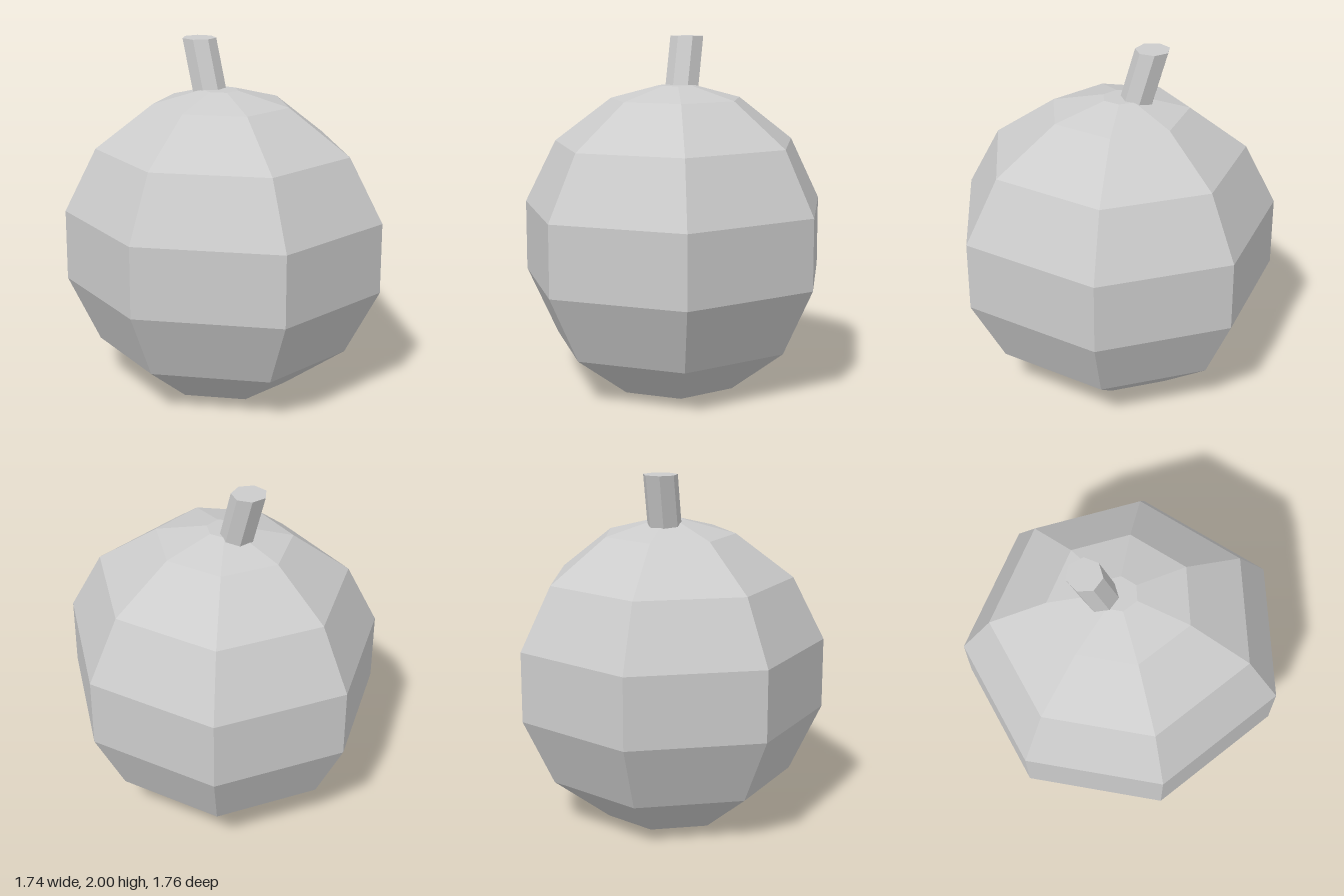
import * as THREE from 'three';

const gray = new THREE.MeshStandardMaterial({ color: 0xcccccc, flatShading: true });
gray.name = 'light gray';

// Seven-sided outline (x, z) at the widest point, from the back round by +x
const half = [[0.695, -0.55], [0.87, 0.207], [0.39, 0.88]];
const outline = [[0, -0.885], ...half, ...half.map(([x, z]) => [-x, z]).reverse()];

// Rings of the body: height, scale of the outline
const rings = [[0, 0.425], [0.255, 0.797], [0.637, 1], [1.04, 1], [1.4, 0.797], [1.65, 0.428], [1.725, 0.115]];

function bodyGeometry() {
  const n = outline.length, pos = [], idx = [];
  for (const [y, s] of rings) for (const [x, z] of outline) pos.push(x * s, y, z * s);
  const bottom = n * rings.length, top = bottom + 1, last = n * (rings.length - 1);
  pos.push(0, rings[0][0], 0, 0, rings[rings.length - 1][0], 0);
  for (let k = 0; k < n; k++) {
    const j = (k + 1) % n;
    for (let i = 0; i < rings.length - 1; i++) {
      const a = i * n + k, b = i * n + j;
      idx.push(b, a, a + n, b, a + n, b + n);
    }
    idx.push(bottom, k, j, top, last + j, last + k);
  }
  const g = new THREE.BufferGeometry();
  g.setAttribute('position', new THREE.Float32BufferAttribute(pos, 3));
  g.setIndex(idx);
  const flat = g.toNonIndexed();
  flat.computeVertexNormals();
  return flat;
}

// Stem: a seven-sided prism sheared backwards, with a level top
function stemGeometry() {
  const g = new THREE.CylinderGeometry(0.098, 0.098, 0.4, 7, 1, false, Math.PI / 2);
  g.translate(0, 1.8, 0);
  const p = g.attributes.position;
  for (let i = 0; i < p.count; i++) p.setZ(i, p.getZ(i) - 0.168 + (2 - p.getY(i)) * 0.285);
  const flat = g.toNonIndexed();
  flat.computeVertexNormals();
  return flat;
}

export function createModel() {
  const group = new THREE.Group();
  group.name = 'roundGourd';
  const body = new THREE.Mesh(bodyGeometry(), gray);
  body.name = 'body';
  const stem = new THREE.Mesh(stemGeometry(), gray);
  stem.name = 'stem';
  group.add(body, stem);
  return group;
}
